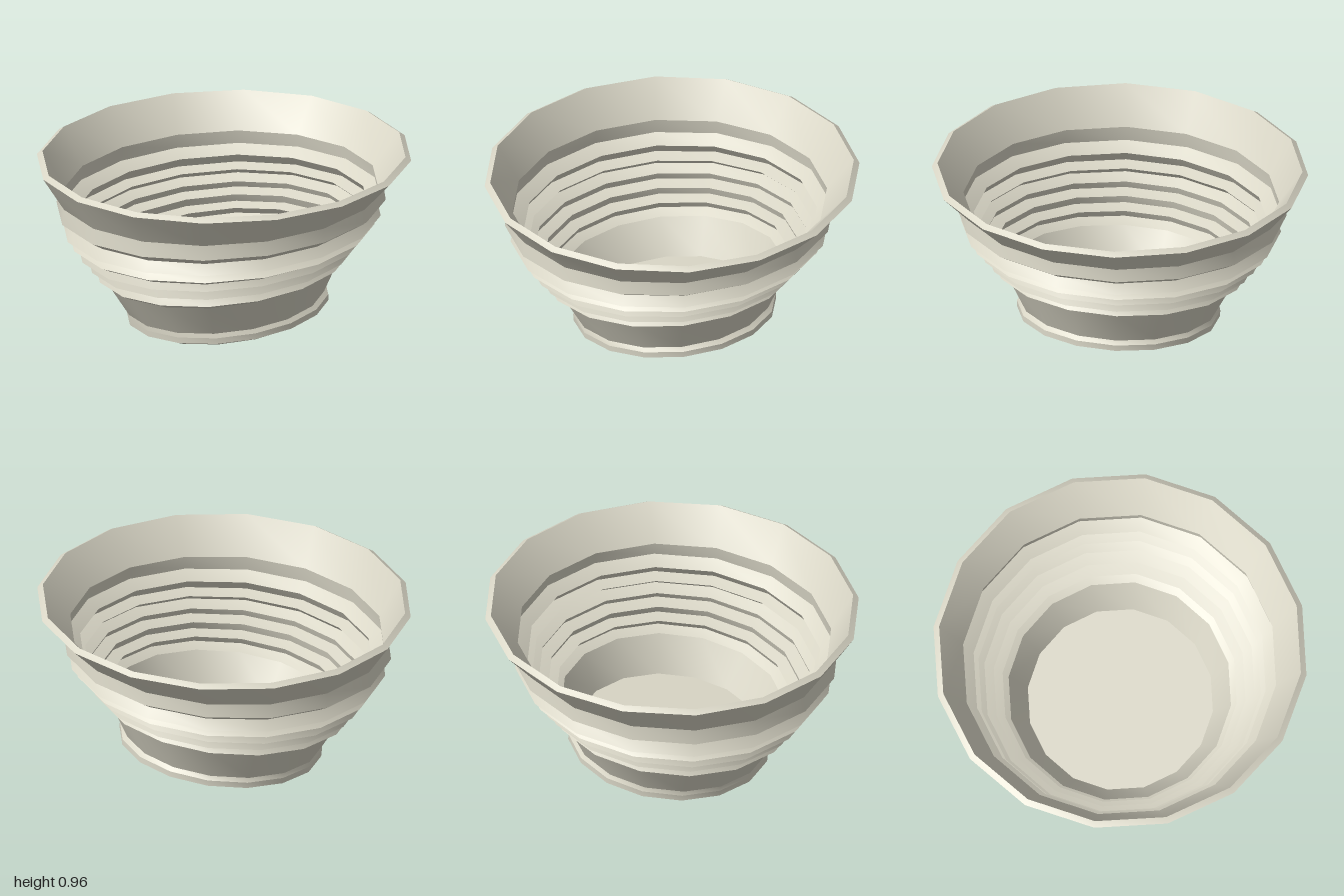
import * as THREE from 'three';
import { mergeGeometries } from 'three/addons/utils/BufferGeometryUtils.js';

const SIDES = 16;
const WALL = 0.03;

// A tilted ring, given by its outermost points on the -x and +x sides
const ring = ([xl, yl, xr, yr], inset = 0) => {
  const cx = (xl + xr) / 2, cy = (yl + yr) / 2;
  const r = (xr - xl) / 2 - inset, rise = (yr - yl) / 2;
  return Array.from({ length: SIDES }, (_, k) => {
    const a = (k / SIDES) * Math.PI * 2;
    return [cx + r * Math.cos(a), cy + rise * Math.cos(a), -r * Math.sin(a)];
  });
};

// Band between two rings: smooth around, creased against its neighbours
function band(lower, upper) {
  const g = new THREE.BufferGeometry();
  g.setAttribute('position', new THREE.Float32BufferAttribute([...lower, ...upper].flat(), 3));
  const index = [];
  for (let k = 0; k < SIDES; k++) {
    const n = (k + 1) % SIDES;
    index.push(k, n, SIDES + k, n, SIDES + n, SIDES + k);
  }
  g.setIndex(index);
  g.computeVertexNormals();
  return g;
}

const bands = (rings) => mergeGeometries(rings.slice(1).map((r, i) => band(rings[i], r)));

// Flat disc closing a ring, facing up or down
function disc(edge, up) {
  const c = [0, 1, 2].map((i) => edge.reduce((s, p) => s + p[i], 0) / SIDES);
  const g = new THREE.BufferGeometry();
  g.setAttribute('position', new THREE.Float32BufferAttribute([...edge, c].flat(), 3));
  const index = [];
  for (let k = 0; k < SIDES; k++) {
    const n = (k + 1) % SIDES;
    index.push(SIDES, up ? k : n, up ? n : k);
  }
  g.setIndex(index);
  g.computeVertexNormals();
  return g;
}

export function createModel() {
  const group = new THREE.Group();
  const clay = new THREE.MeshStandardMaterial({ color: 0xd9d6c6 });
  clay.name = 'pale clay';
  const add = (name, geometry) => {
    const mesh = new THREE.Mesh(geometry, clay);
    mesh.name = name;
    group.add(mesh);
  };

  // Rings as [left x, left y, right x, right y], bottom to top
  const foot = [
    [-0.47, 0.0, 0.53, 0.12],
    [-0.52, 0.02, 0.56, 0.134],
    [-0.523, 0.052, 0.558, 0.165],
    [-0.525, 0.078, 0.535, 0.183],
  ];
  const ridges = [
    [-0.634, 0.251, 0.618, 0.38],
    [-0.687, 0.278, 0.67, 0.406],
    [-0.67, 0.316, 0.645, 0.438],
    [-0.73, 0.337, 0.71, 0.455],
    [-0.72, 0.38, 0.69, 0.497],
    [-0.783, 0.4, 0.757, 0.519],
    [-0.77, 0.44, 0.74, 0.55],
    [-0.83, 0.47, 0.805, 0.578],
    [-0.8, 0.503, 0.773, 0.604],
    [-0.864, 0.524, 0.837, 0.626],
    [-0.826, 0.583, 0.8, 0.674],
    [-0.895, 0.625, 0.864, 0.717],
    [-0.885, 0.71, 0.853, 0.786],
  ];
  const lip = [-1, 0.892, 1, 0.938];
  const lipTop = [-1, 0.912, 1, 0.958];
  const floor = [-0.512, 0.075, 0.54, 0.175];
  const last = ridges[ridges.length - 1];
  const inner = (r) => ring(r, WALL);

  // Outside
  add('base', disc(ring(foot[0]), false));
  add('foot', bands(foot.map((r) => ring(r))));
  add('lowerWall', band(ring(foot[3]), ring(ridges[0])));
  add('outerRidges', bands(ridges.map((r) => ring(r))));
  add('flaredWall', band(ring(last), ring(lip)));

  // Rim and inside, running back down to the floor
  add('rim', band(ring(lip), inner(lipTop)));
  add('innerFlare', band(inner(lipTop), inner(last)));
  add('innerRidges', bands([...ridges].reverse().map(inner)));
  add('innerLowerWall', band(inner(ridges[0]), inner(floor)));
  add('floor', disc(inner(floor), true));
  return group;
}
